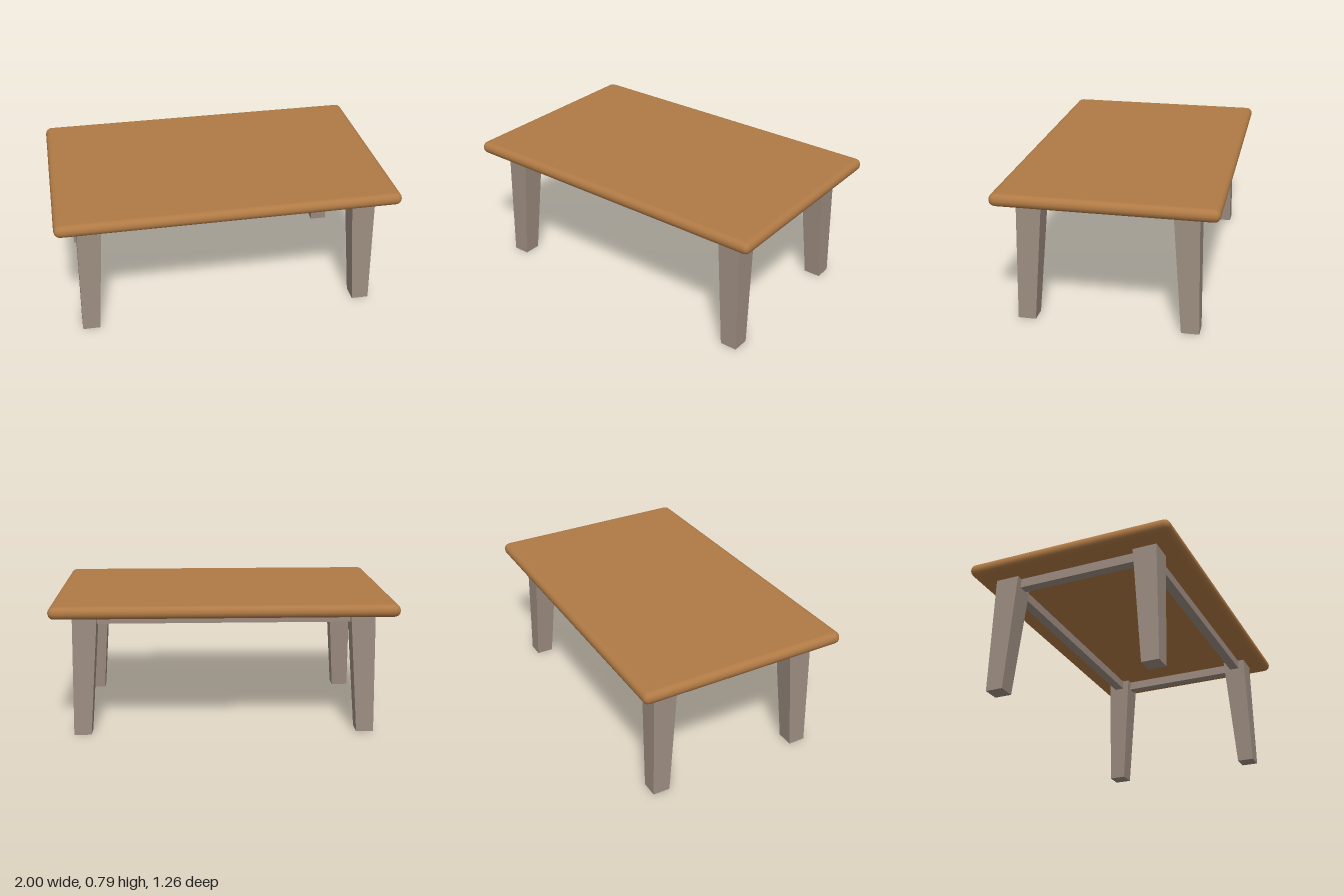
import * as THREE from 'three';
import { RoundedBoxGeometry } from 'three/addons/geometries/RoundedBoxGeometry.js';

const wood = new THREE.MeshStandardMaterial({ name: 'warm wood', color: 0xb07a45 });
const greyWood = new THREE.MeshStandardMaterial({ name: 'grey wood', color: 0x9c8c80 });

const UNDERSIDE = 0.717; // height of the underside of the top

// Tapered, slightly splayed leg; ranges are [inner, outer] at foot and top
function legGeometry(sx, sz) {
  const foot = { x: [0.785, 0.887], z: [0.42, 0.523] };
  const head = { x: [0.733, 0.875], z: [0.366, 0.51] };
  const geo = new THREE.BoxGeometry(1, 1, 1);
  const p = geo.attributes.position;
  for (let i = 0; i < p.count; i++) {
    const end = p.getY(i) > 0 ? head : foot;
    const outerX = p.getX(i) * sx > 0 ? 1 : 0;
    const outerZ = p.getZ(i) * sz > 0 ? 1 : 0;
    p.setXYZ(i, sx * end.x[outerX], p.getY(i) > 0 ? UNDERSIDE : 0, sz * end.z[outerZ]);
  }
  geo.computeVertexNormals();
  return geo;
}

export function createModel() {
  const table = new THREE.Group();
  table.name = 'table';

  const add = (name, geometry, material, x = 0, y = 0, z = 0) => {
    const mesh = new THREE.Mesh(geometry, material);
    mesh.name = name;
    mesh.position.set(x, y, z);
    table.add(mesh);
  };

  // Top with rounded edges
  add('tableTop', new RoundedBoxGeometry(2, 0.074, 1.26, 2, 0.0365), wood, 0, 0.753, 0);

  // Four legs
  for (const sx of [-1, 1]) {
    for (const sz of [-1, 1]) {
      add(`${sz > 0 ? 'front' : 'back'}${sx > 0 ? 'Left' : 'Right'}Leg`, legGeometry(sx, sz), greyWood);
    }
  }

  // Apron rails joining the legs, set into the middle of each leg
  const railY = UNDERSIDE - 0.0285;
  for (const s of [-1, 1]) {
    add(s > 0 ? 'frontRail' : 'backRail', new THREE.BoxGeometry(1.56, 0.057, 0.06), greyWood, 0, railY, s * 0.44);
    add(s > 0 ? 'leftRail' : 'rightRail', new THREE.BoxGeometry(0.06, 0.057, 0.84), greyWood, s * 0.805, railY, 0);
  }

  return table;
}
